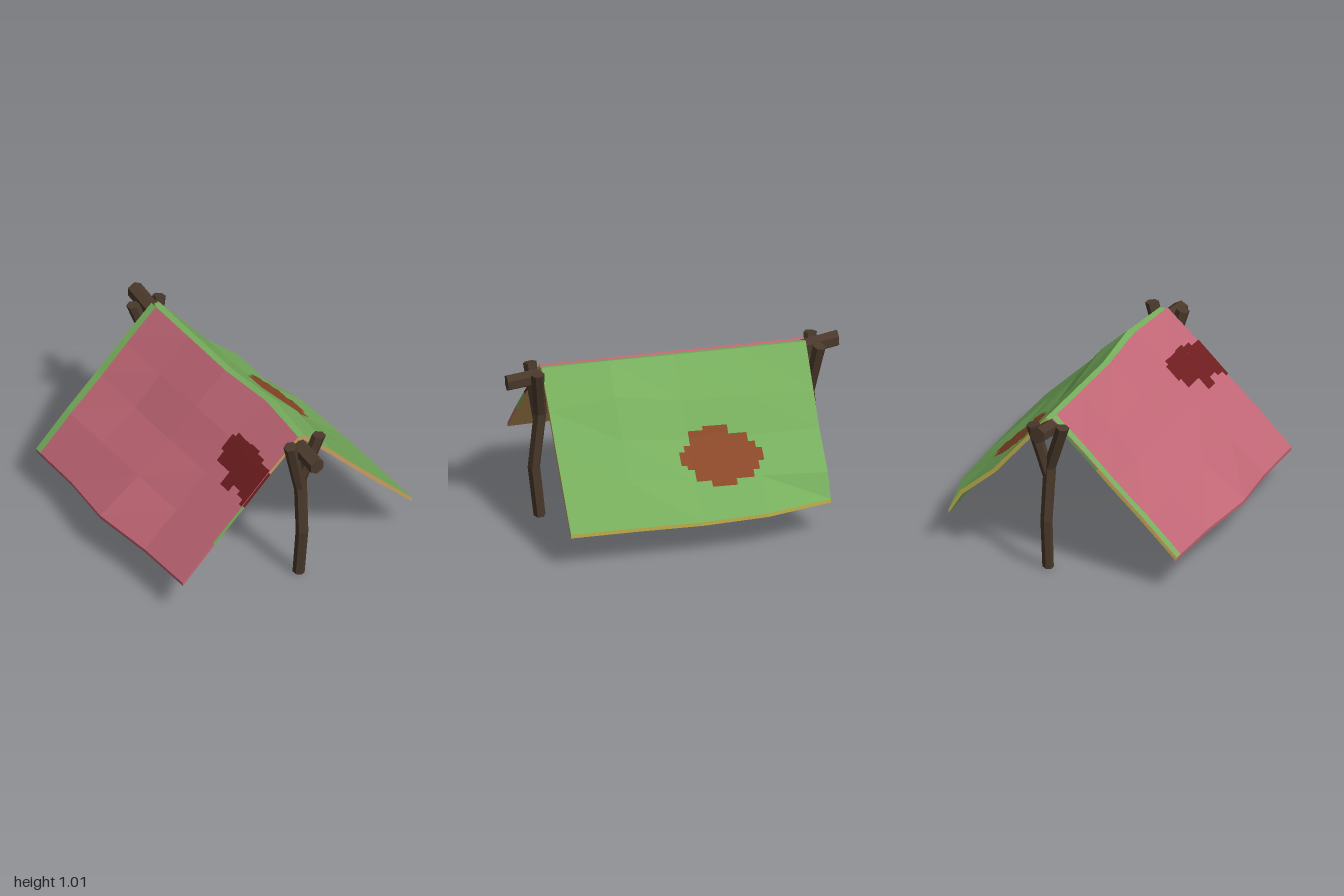
import * as THREE from 'three';

const V = (x, y, z) => new THREE.Vector3(x, y, z);
const colours = {
  wood: 0x4a392b, green: 0x77ae5d, pink: 0xc06675, rust: 0x8a4829,
  maroon: 0x6e1d1f, yellow: 0xcbb851, tan: 0xc79b5e,
};
const mats = {};
for (const [name, color] of Object.entries(colours)) {
  mats[name] = new THREE.MeshStandardMaterial({ color });
  mats[name].name = name;
}

// Flat-shaded mesh from loose corner points
function facetMesh(name, mat, pts) {
  const g = new THREE.BufferGeometry().setFromPoints(pts);
  g.computeVertexNormals();
  const m = new THREE.Mesh(g, mats[mat]);
  m.name = name;
  return m;
}

// Triangle whose front faces along hint
function tri(out, a, b, c, hint) {
  const n = b.clone().sub(a).cross(c.clone().sub(a));
  if (n.dot(hint) >= 0) out.push(a, b, c); else out.push(a, c, b);
}
function quad(out, p00, p10, p01, p11, hint) {
  tri(out, p00, p10, p01, hint);
  tri(out, p11, p01, p10, hint);
}

// Six-sided branch following a list of points
function limb(name, points, r0, r1) {
  const n = points.length - 1;
  const pts = points.map(p => V(...p));
  const dir = pts[n].clone().sub(pts[0]).normalize();
  const q = new THREE.Quaternion().setFromUnitVectors(V(0, 1, 0), dir);
  const g = new THREE.CylinderGeometry(r1, r0, 1, 6, n).toNonIndexed();
  const pos = g.attributes.position;
  const v = V(0, 0, 0);
  for (let i = 0; i < pos.count; i++) {
    v.fromBufferAttribute(pos, i);
    const row = Math.round((v.y + 0.5) * n);
    v.y = 0;
    v.applyQuaternion(q).add(pts[row]);
    pos.setXYZ(i, v.x, v.y, v.z);
  }
  g.computeVertexNormals();
  const m = new THREE.Mesh(g, mats.wood);
  m.name = name;
  return m;
}

// Cloth grid: five rows in z sharing a profile, with some points moved
function clothGrid(profile, moved) {
  return [0, 1, 2, 3, 4].map(r => profile.map(([x, y], c) => {
    const m = moved[r + ',' + c] || [x, y];
    return V(m[0], m[1], -0.8 + 0.4 * r);
  }));
}

// Point on the faceted cloth at column u, row v
function sample(grid, u, v) {
  const i = Math.min(Math.floor(u), grid[0].length - 2), j = Math.min(Math.floor(v), 3);
  const a = u - i, b = v - j;
  const p10 = grid[j][i + 1], p01 = grid[j + 1][i];
  const low = a + b <= 1;
  const o = low ? grid[j][i] : grid[j + 1][i + 1];
  const du = p10.clone().sub(o), dv = p01.clone().sub(o);
  return o.clone().addScaledVector(low ? du : dv, low ? a : 1 - a).addScaledVector(low ? dv : du, low ? b : 1 - b);
}

// One sloping cloth: outer face, lining and edges
function clothPanel(name, side, grid, inset, cols) {
  const group = new THREE.Group();
  group.name = name;
  const parts = {};
  const bucket = (part, mat) => (parts[part + '|' + mat] ||= []);
  const out = V(side, 1, 0), inn = V(-side, -1, 0);
  const nc = grid[0].length - 1, S = 0.5;
  const inner = grid.map(row => row.map((p, c) => V(p.x + inset[c][0], p.y + inset[c][1], p.z)));
  for (let u = 0; u < nc; u += S) {
    for (let v = 0; v < 4; v += S) {
      const cell = g => [sample(g, u, v), sample(g, u + S, v), sample(g, u, v + S), sample(g, u + S, v + S)];
      quad(bucket('outerCloth', cols.outer), ...cell(grid), u < 1 && side > 0 ? V(0, 1, 0) : out);
      quad(bucket('lining', cols.lining(u)), ...cell(inner), u < 1 && side > 0 ? V(0, -1, 0) : inn);
    }
    for (const [v, nz, key] of [[0, -1, 'back'], [4, 1, 'front']]) {
      quad(bucket(key + 'Edge', cols[key](u)), sample(grid, u, v), sample(grid, u + S, v),
        sample(inner, u, v), sample(inner, u + S, v), V(0, 0, nz));
    }
  }
  for (let v = 0; v < 4; v++) {
    quad(bucket('eaveEdge', cols.eave), grid[v][nc], grid[v + 1][nc], inner[v][nc], inner[v + 1][nc], V(side, -0.2, 0));
    quad(bucket('ridgeEdge', cols.outer), grid[v][0], grid[v + 1][0], inner[v][0], inner[v + 1][0], V(-side, 0, 0));
  }
  for (const [key, pts] of Object.entries(parts)) group.add(facetMesh(...key.split('|'), pts));
  return group;
}

// Thin patch draped over a cloth, from strips [z0, z1, x0, x1]
function patch(name, mat, grid, profile, side, strips) {
  const toU = x => {
    const t = side * x;
    let i = 0;
    while (i < profile.length - 2 && side * profile[i + 1][0] < t) i++;
    return i + (t - side * profile[i][0]) / (side * (profile[i + 1][0] - profile[i][0]));
  };
  const pts = [], N = 8, lift = V(side * 0.004, 0.004, 0);
  for (const [z0, z1, x0, x1] of strips) {
    const u0 = toU(x0), u1 = toU(x1);
    const at = (i, j) => sample(grid, u0 + (u1 - u0) * i / N, (z0 + (z1 - z0) * j / N + 0.8) / 0.4).add(lift);
    for (let i = 0; i < N; i++) for (let j = 0; j < N; j++) {
      quad(pts, at(i, j), at(i + 1, j), at(i, j + 1), at(i + 1, j + 1), V(side, 1, 0));
    }
  }
  return facetMesh(name, mat, pts);
}

export function createModel() {
  const model = new THREE.Group();
  model.name = 'shelter';

  // Ridge pole and forked posts
  model.add(limb('ridgePole', [[0.04, 0.888, 1], [0.04, 0.91, 0.82], [0.045, 0.9, 0.4],
    [0.045, 0.9, -0.5], [0.042, 0.925, -0.78], [0.04, 0.965, -1]], 0.05, 0.052));
  model.add(limb('frontPost', [[0.038, 0.012, 0.8], [0.04, 0.33, 0.835], [0.05, 0.68, 0.8], [0.155, 0.98, 0.84]], 0.036, 0.041));
  model.add(limb('frontFork', [[0.042, 0.62, 0.805], [-0.045, 0.97, 0.84]], 0.034, 0.041));
  model.add(limb('backPost', [[0.058, 0.014, -0.81], [0.05, 0.34, -0.85], [0.042, 0.68, -0.82], [-0.06, 0.975, -0.86]], 0.034, 0.04));
  model.add(limb('backFork', [[0.05, 0.62, -0.82], [0.13, 0.965, -0.87]], 0.034, 0.04));

  // Left cloth, wrapping over the ridge
  const lp = [[0.03, 0.972], [0.08, 0.982], [0.28, 0.79], [0.43, 0.635], [0.62, 0.447], [0.83, 0.24]];
  const left = clothGrid(lp, {
    '0,2': [0.27, 0.755], '0,3': [0.42, 0.575], '0,4': [0.635, 0.385], '0,5': [0.71, 0.245],
    '1,2': [0.28, 0.765], '1,3': [0.42, 0.575], '1,4': [0.62, 0.4], '1,5': [0.81, 0.24],
    '2,2': [0.28, 0.775], '2,3': [0.42, 0.585], '2,4': [0.62, 0.405], '2,5': [0.83, 0.235],
    '3,0': [0.06, 0.985], '3,1': [0.11, 1.0], '3,2': [0.28, 0.84], '3,3': [0.44, 0.63],
  });
  const li = [[0, -0.025], [-0.012, -0.025], ...Array(3).fill([-0.015, -0.02]), [-0.002, -0.024]];
  model.add(clothPanel('leftCloth', 1, left, li, {
    outer: 'green', lining: u => (u < 3.5 ? 'yellow' : 'green'),
    front: () => 'tan', back: () => 'yellow', eave: 'yellow',
  }));

  // Right cloth, lapping over the ridge
  const rp = [[0.035, 0.986], [-0.17, 0.805], [-0.35, 0.635], [-0.56, 0.445], [-0.77, 0.24]];
  const right = clothGrid(rp, {
    '1,1': [-0.16, 0.79], '1,2': [-0.335, 0.615], '1,4': [-0.78, 0.245],
    '2,2': [-0.345, 0.625], '2,3': [-0.57, 0.455], '2,4': [-0.835, 0.268],
    '3,0': [0.062, 0.998], '3,4': [-0.78, 0.245],
  });
  const ri = [...Array(4).fill([0.012, -0.017]), [0.002, -0.022]];
  model.add(clothPanel('rightCloth', -1, right, ri, {
    outer: 'pink', lining: u => (u < 1.5 ? 'pink' : 'tan'),
    front: u => ['tan', 'maroon', 'green', 'pink'][Math.floor(u)],
    back: u => (u < 1.5 ? 'green' : 'yellow'), eave: 'pink',
  }));

  // Sewn patches and the back hem
  model.add(patch('rustPatch', 'rust', left, lp, 1, [
    [-0.435, -0.4, 0.49, 0.55], [-0.4, -0.36, 0.46, 0.59], [-0.36, -0.25, 0.42, 0.625],
    [-0.25, -0.1, 0.385, 0.66], [-0.1, -0.01, 0.4, 0.625], [-0.01, 0.03, 0.46, 0.57], [0.03, 0.065, 0.49, 0.55],
  ]));
  model.add(patch('maroonPatch', 'maroon', right, rp, -1, [
    [0.38, 0.41, -0.15, -0.23], [0.41, 0.55, -0.13, -0.28], [0.55, 0.64, -0.125, -0.345],
    [0.64, 0.71, -0.14, -0.31], [0.71, 0.77, -0.16, -0.33], [0.77, 0.8, -0.16, -0.355],
  ]));
  model.add(patch('backHem', 'green', right, rp, -1, [[-0.8, -0.75, 0.035, -0.77]]));
  return model;
}
